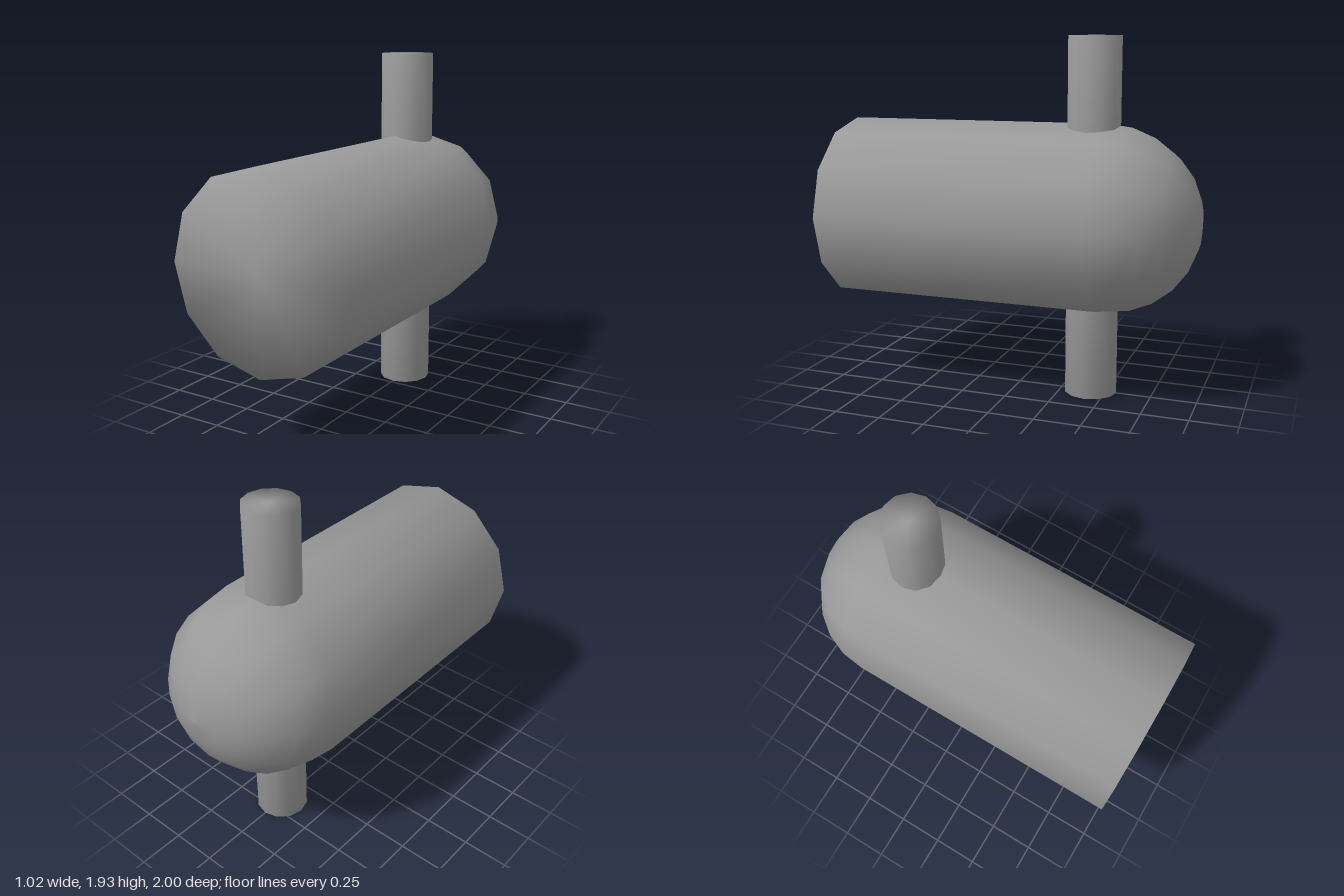
import * as THREE from 'three';

const SIDES = 12;
const CENTRE_Y = 0.965;

// Smooth solid of revolution from [radius, height] pairs, bottom to top
function turned(profile, material, name) {
  const points = profile.map(([r, y]) => new THREE.Vector2(r, y));
  const mesh = new THREE.Mesh(new THREE.LatheGeometry(points, SIDES), material);
  mesh.name = name;
  return mesh;
}

export function createModel() {
  const group = new THREE.Group();
  group.name = 'roundEndedCylinderWithPegs';
  const grey = new THREE.MeshStandardMaterial({ color: 0x999999 });
  grey.name = 'midGrey';

  // Barrel: domed at the back, flat at the front
  const radius = 0.51;
  const profile = [];
  for (let i = 0; i <= 6; i++) {
    const a = (i / 6) * Math.PI / 2;
    profile.push([radius * Math.sin(a), radius - 1 - radius * Math.cos(a)]);
  }
  profile.push([radius, 1], [0, 1]);
  const body = turned(profile, grey, 'body');
  body.rotation.x = Math.PI / 2;
  body.position.y = CENTRE_Y;
  group.add(body);

  // Pegs standing out above and below the barrel
  for (const [name, turn] of [['upperPeg', 0], ['lowerPeg', Math.PI]]) {
    const peg = turned([[0.145, 0.3], [0.145, CENTRE_Y], [0, CENTRE_Y]], grey, name);
    peg.rotation.z = turn;
    peg.position.set(0, CENTRE_Y, -0.415);
    group.add(peg);
  }
  return group;
}
